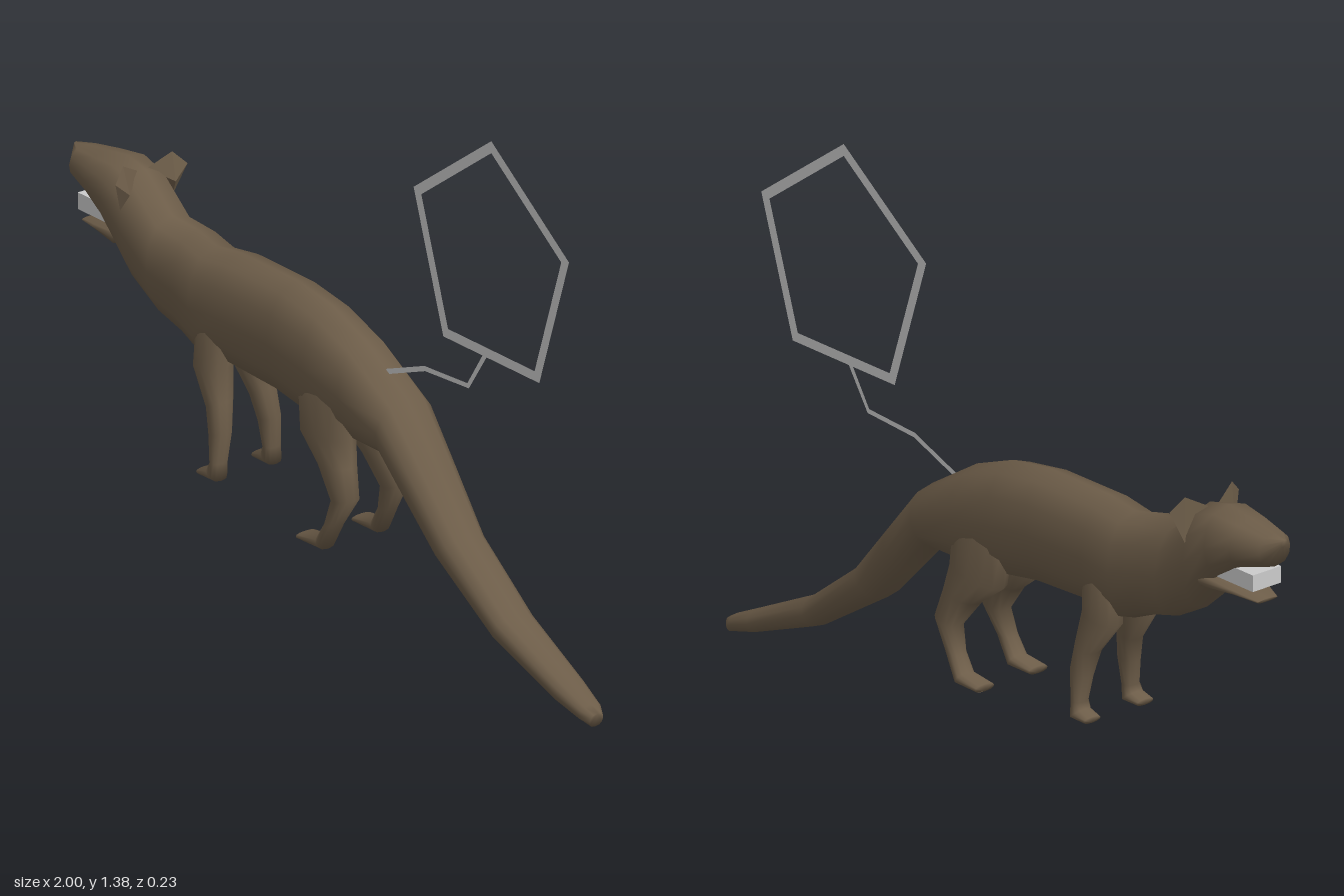
import * as THREE from 'three';
import { ConvexGeometry } from 'three/addons/geometries/ConvexGeometry.js';

const SIDES = 12;
const fur = new THREE.MeshStandardMaterial({ color: 0x6c5c48, side: THREE.DoubleSide });
const furFlat = new THREE.MeshStandardMaterial({ color: 0x6c5c48, flatShading: true });
const grey = new THREE.MeshStandardMaterial({ color: 0xcccccc, side: THREE.DoubleSide });

// Skin over rounded sections; each is [ax, ay, bx, by, halfWidth, zCentre]
function loft(sections) {
  const pos = [], index = [];
  for (const [ax, ay, bx, by, w, z = 0] of sections) {
    for (let j = 0; j < SIDES; j++) {
      const t = (j / SIDES) * Math.PI * 2;
      const k = (1 - Math.cos(t)) / 2;
      const s = Math.sin(t);
      pos.push(ax + (bx - ax) * k, ay + (by - ay) * k, z + w * Math.sign(s) * Math.abs(s) ** 0.75);
    }
  }
  for (let i = 0; i < sections.length - 1; i++) {
    for (let j = 0; j < SIDES; j++) {
      const a = i * SIDES + j, b = i * SIDES + ((j + 1) % SIDES);
      index.push(a, b, a + SIDES, b, b + SIDES, a + SIDES);
    }
  }
  // End caps
  const last = (sections.length - 1) * SIDES;
  for (let j = 1; j < SIDES - 1; j++) {
    index.push(0, j + 1, j, last, last + j, last + j + 1);
  }
  const g = new THREE.BufferGeometry();
  g.setAttribute('position', new THREE.Float32BufferAttribute(pos, 3));
  g.setIndex(index);
  g.computeVertexNormals();
  return g;
}

// Flat ribbon of constant width along a path in the xy plane
function ribbon(points, width) {
  const p = points.map(([x, y]) => new THREE.Vector2(x, y));
  const edge = (side) => p.map((q, i) => {
    const d = p[Math.min(i + 1, p.length - 1)].clone().sub(p[Math.max(i - 1, 0)]).normalize();
    return new THREE.Vector2(q.x - d.y * side * width / 2, q.y + d.x * side * width / 2);
  });
  return new THREE.ShapeGeometry(new THREE.Shape([...edge(-1), ...edge(1).reverse()]));
}

export function createModel() {
  const model = new THREE.Group();
  const add = (name, geometry, material) => {
    const mesh = new THREE.Mesh(geometry, material);
    mesh.name = name;
    model.add(mesh);
    return mesh;
  };

  // Head, trunk and tail in one skin: top point, bottom point, half width
  add('body', loft([
    [-1, 0.86, -0.995, 0.84, 0.008],
    [-0.96, 0.866, -0.967, 0.782, 0.05],
    [-0.88, 0.878, -0.88, 0.756, 0.072],
    [-0.8, 0.89, -0.81, 0.71, 0.085],
    [-0.73, 0.875, -0.72, 0.6, 0.085],
    [-0.63, 0.79, -0.62, 0.545, 0.085],
    [-0.53, 0.785, -0.53, 0.52, 0.086],
    [-0.46, 0.767, -0.46, 0.49, 0.09],
    [-0.37, 0.78, -0.36, 0.5, 0.092],
    [-0.15, 0.78, -0.17, 0.49, 0.09],
    [-0.02, 0.76, -0.02, 0.465, 0.09],
    [0.11, 0.71, 0.12, 0.46, 0.09],
    [0.27, 0.61, 0.24, 0.465, 0.086],
    [0.39, 0.47, 0.335, 0.365, 0.076],
    [0.51, 0.33, 0.43, 0.265, 0.065],
    [0.69, 0.19, 0.66, 0.12, 0.06],
    [0.9, 0.088, 0.88, 0.035, 0.046],
    [0.975, 0.052, 0.965, 0.01, 0.034],
    [1, 0.037, 0.99, 0, 0.02],
  ]), fur);

  // Open lower jaw and the block held in the mouth
  add('lowerJaw', loft([
    [-0.938, 0.69, -0.938, 0.682, 0.032],
    [-0.87, 0.706, -0.87, 0.687, 0.055],
    [-0.76, 0.73, -0.78, 0.675, 0.074],
  ]), fur);
  add('mouthBlock', new THREE.BoxGeometry(0.14, 0.043, 0.09), grey).position.set(-0.866, 0.739, 0);

  for (const [side, s] of [['left', -1], ['right', 1]]) {
    // Ears flare up and outward
    add(side + 'Ear', new ConvexGeometry([
      [-0.745, 0.87, 0.012], [-0.725, 0.905, 0.075], [-0.71, 0.87, 0.11],
      [-0.73, 0.79, 0.08], [-0.705, 0.835, 0.07],
    ].map(([x, y, z]) => new THREE.Vector3(x, y, z * s))), furFlat);

    // Legs: back point, front point, half width, sideways offset
    add(side + 'FrontLeg', loft([
      [-0.34, 0.62, -0.46, 0.62, 0.03, 0.05 * s],
      [-0.35, 0.5, -0.46, 0.48, 0.04, 0.055 * s],
      [-0.338, 0.42, -0.395, 0.395, 0.034, 0.066 * s],
      [-0.325, 0.345, -0.38, 0.33, 0.028, 0.075 * s],
      [-0.335, 0.265, -0.368, 0.265, 0.024, 0.081 * s],
      [-0.338, 0.22, -0.375, 0.25, 0.028, 0.083 * s],
      [-0.4, 0.222, -0.402, 0.238, 0.026, 0.084 * s],
    ]), fur);
    add(side + 'HindLeg', loft([
      [0.13, 0.6, -0.08, 0.6, 0.03, 0.05 * s],
      [0.13, 0.47, -0.05, 0.45, 0.04, 0.058 * s],
      [0.14, 0.405, 0.03, 0.39, 0.038, 0.066 * s],
      [0.162, 0.33, 0.09, 0.315, 0.032, 0.075 * s],
      [0.115, 0.255, 0.072, 0.25, 0.026, 0.082 * s],
      [0.072, 0.18, 0.05, 0.212, 0.029, 0.084 * s],
      [-0.015, 0.183, -0.012, 0.2, 0.03, 0.085 * s],
    ]), fur);
  }

  // Flat five-sided frame joined to the back by a bent thread
  add('pentagonFrame', new THREE.RingGeometry(0.282, 0.313, 5, 1, Math.PI / 2), grey)
    .position.set(0.592, 1.072, 0);
  add('thread', ribbon([[0.57, 0.825], [0.503, 0.722], [0.337, 0.712], [0.18, 0.652]], 0.013), grey);

  return model;
}
